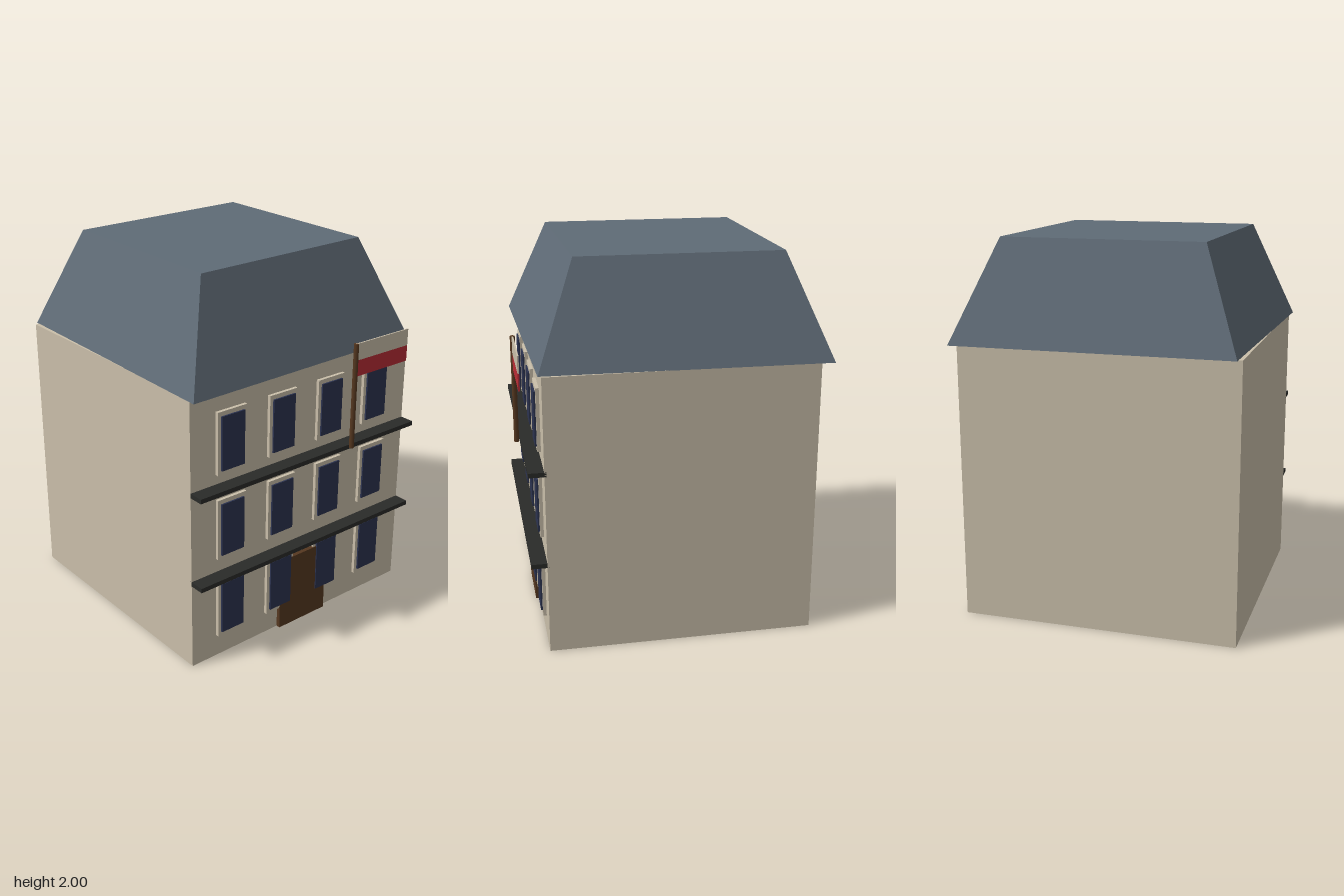
import * as THREE from 'three';

const material = (name, color) => {
  const m = new THREE.MeshStandardMaterial({ color });
  m.name = name;
  return m;
};

export function createModel() {
  const stone = material('stone', 0xcabfaa);
  const slate = material('slate', 0x5f6b76);
  const iron = material('iron', 0x2a2b29);
  const glass = material('glass', 0x2c3350);
  const wood = material('wood', 0x563820);
  const red = material('red', 0xb92d36);

  const house = new THREE.Group();
  house.name = 'townhouse';

  const add = (name, geometry, mat, parent = house) => {
    const mesh = new THREE.Mesh(geometry, mat);
    mesh.name = name;
    parent.add(mesh);
    return mesh;
  };
  // Box given by its limits along each axis
  const box = (name, mat, [x0, x1], [y0, y1], [z0, z1], parent) => {
    const g = new THREE.BoxGeometry(x1 - x0, y1 - y0, z1 - z0);
    g.translate((x0 + x1) / 2, (y0 + y1) / 2, (z0 + z1) / 2);
    return add(name, g, mat, parent);
  };

  const front = 0.67;
  const width = [-0.737, 0.731];

  box('walls', stone, width, [0, 1.473], [-0.72, front]);

  // Truncated roof, slightly skewed along its diagonals
  const roof = new THREE.CylinderGeometry(0.718, 1, 0.528, 4, 1).toNonIndexed();
  roof.scale(1.064, 1, 1.011);
  roof.rotateY(Math.PI / 4);
  roof.translate(0, 1.736, -0.03);
  roof.computeVertexNormals();
  add('roof', roof, slate);

  // Ledges between the floors
  for (const y of [0.475, 0.966]) {
    box('ledge', iron, width, [y, y + 0.024], [front - 0.01, 0.75]);
  }

  // Three rows of four framed windows
  for (const y of [0.288, 0.74, 1.207]) {
    for (let i = 0; i < 4; i++) {
      const x = -0.003 + (i - 1.5) * 0.327;
      const win = new THREE.Group();
      win.name = 'window';
      house.add(win);
      box('windowFrame', stone, [x - 0.09, x + 0.09], [y - 0.166, y + 0.166], [front - 0.01, 0.688], win);
      box('windowPane', glass, [x - 0.071, x + 0.071], [y - 0.143, y + 0.143], [0.688, 0.697], win);
    }
  }

  box('door', wood, [-0.165, 0.16], [0, 0.41], [front - 0.01, 0.692]);

  // Flagpole with a two-striped flag
  const flag = new THREE.Group();
  flag.name = 'flag';
  house.add(flag);
  const pole = new THREE.CylinderGeometry(0.013, 0.013, 0.572, 8);
  pole.translate(0.243, 1.267, 0.768);
  add('flagpole', pole, wood, flag);
  box('flagUpperStripe', stone, [0.243, 0.62], [1.463, 1.553], [0.764, 0.772], flag);
  box('flagLowerStripe', red, [0.243, 0.62], [1.376, 1.463], [0.764, 0.772], flag);

  return house;
}
